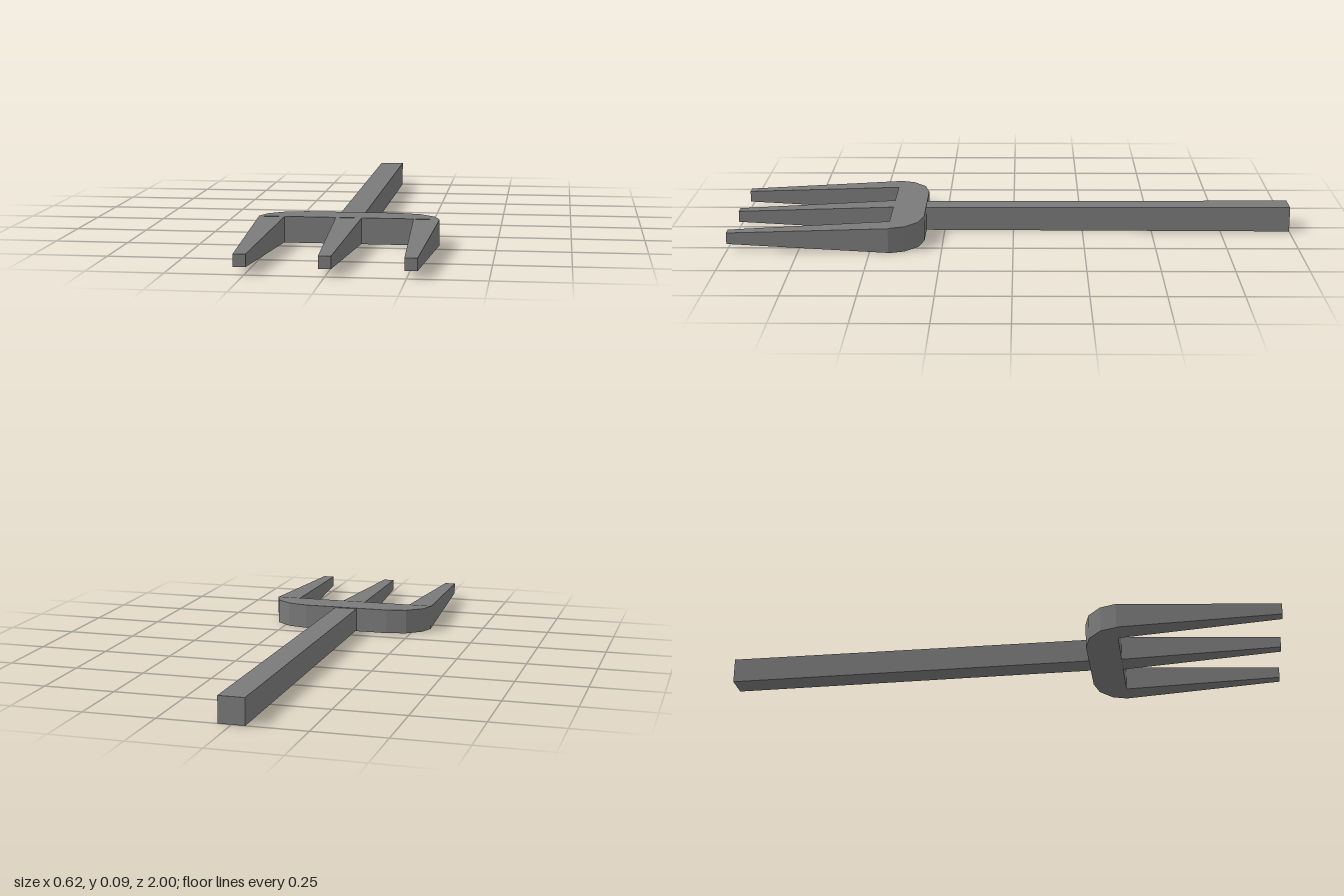
import * as THREE from 'three';

const HEIGHT = 0.09;

// Square bar along z, with its own half-width at each end
function taperedBar(name, x, zBack, halfBack, zFront, halfFront, material) {
  const geometry = new THREE.BoxGeometry(2, 2, zFront - zBack);
  const p = geometry.attributes.position;
  for (let i = 0; i < p.count; i++) {
    const half = p.getZ(i) > 0 ? halfFront : halfBack;
    p.setXY(i, p.getX(i) * half, p.getY(i) * half);
  }
  geometry.computeVertexNormals();
  const mesh = new THREE.Mesh(geometry, material);
  mesh.name = name;
  mesh.position.set(x, HEIGHT / 2, (zBack + zFront) / 2);
  return mesh;
}

export function createModel() {
  const group = new THREE.Group();
  group.name = 'fork';
  const metal = new THREE.MeshStandardMaterial({ color: 0x7a7a7a });
  metal.name = 'dark grey metal';
  metal.flatShading = true;

  // Handle, narrowing very slightly towards the head
  group.add(taperedBar('handle', 0, -1, 0.045, 0.33, 0.042, metal));

  // Crossbar with faceted shoulders, drawn as (x, z) and mirrored
  const side = [[0.16, 0.316], [0.233, 0.333], [0.288, 0.378], [0.308, 0.434]];
  const outline = [...side, ...side.map(([x, z]) => [-x, z]).reverse()];
  const shape = new THREE.Shape(outline.map(([x, z]) => new THREE.Vector2(x, z)));
  const geometry = new THREE.ExtrudeGeometry(shape, { depth: HEIGHT, bevelEnabled: false });
  geometry.rotateX(Math.PI / 2).translate(0, HEIGHT, 0);
  const crossbar = new THREE.Mesh(geometry, metal);
  crossbar.name = 'crossbar';
  group.add(crossbar);

  // Three tines tapering to blunt square tips
  [['rightTine', -0.264], ['middleTine', 0], ['leftTine', 0.264]].forEach(([name, x]) => {
    group.add(taperedBar(name, x, 0.434, 0.044, 1, 0.02, metal));
  });

  return group;
}
